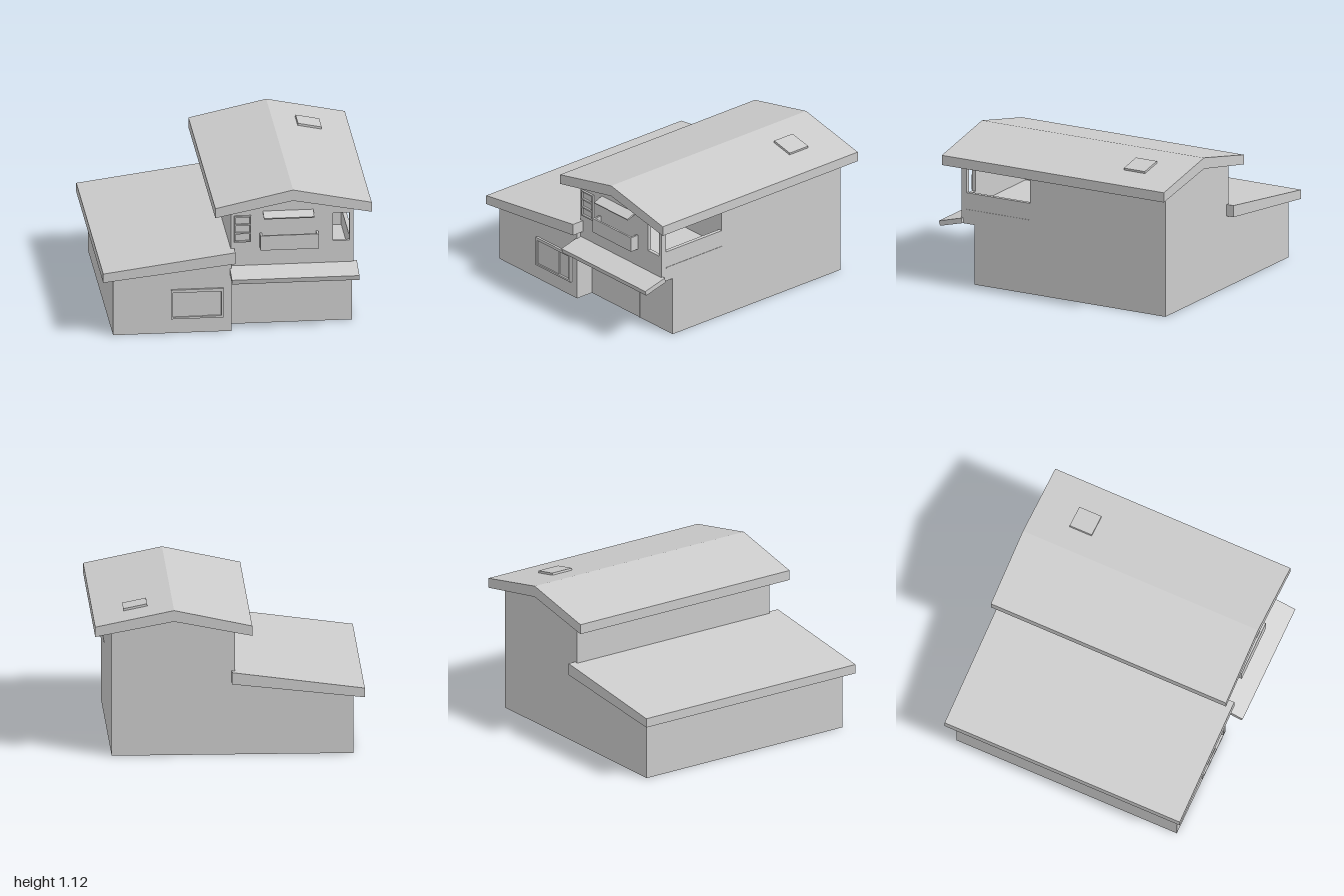
import * as THREE from 'three';

const material = new THREE.MeshStandardMaterial({ color: 0xcccccc, flatShading: true, side: THREE.DoubleSide });

export function createModel() {
  const house = new THREE.Group();
  house.name = 'house';

  const add = (name, geometry, parent = house) => {
    const mesh = new THREE.Mesh(geometry, material);
    mesh.name = name;
    parent.add(mesh);
    return mesh;
  };
  // Box given by its limits on each axis
  const box = (name, x0, x1, y0, y1, z0, z1, parent) => {
    const mesh = add(name, new THREE.BoxGeometry(x1 - x0, y1 - y0, z1 - z0), parent);
    mesh.position.set((x0 + x1) / 2, (y0 + y1) / 2, (z0 + z1) / 2);
    return mesh;
  };
  const outline = (points) => new THREE.Shape(points.map(([a, b]) => new THREE.Vector2(a, b)));
  const rectHole = (x0, x1, y0, y1) =>
    new THREE.Path([[x0, y0], [x0, y1], [x1, y1], [x1, y0]].map(([a, b]) => new THREE.Vector2(a, b)));
  const extrude = (shape, depth) => new THREE.ExtrudeGeometry(shape, { depth, bevelEnabled: false });
  // Front-facing profile (x, y) swept from z0 to z1
  const sweepZ = (name, points, z0, z1, holes = [], parent) => {
    const shape = outline(points);
    shape.holes.push(...holes);
    const mesh = add(name, extrude(shape, z1 - z0), parent);
    mesh.position.z = z0;
    return mesh;
  };
  // Side profile (z, y) swept from x0 to x1
  const sweepX = (name, points, x0, x1, holes = []) => {
    const shape = outline(points.map(([z, y]) => [-z, y]));
    shape.holes.push(...holes);
    const mesh = add(name, extrude(shape, x1 - x0));
    mesh.rotation.y = Math.PI / 2;
    mesh.position.x = x0;
    return mesh;
  };

  // Ground floor and single-storey wing
  sweepZ('wingWalls', [[-0.92, 0], [-0.04, 0], [-0.04, 0.55], [-0.92, 0.455]], -0.935, 0.855);
  box('groundFloor', -0.04, 0.875, 0, 0.46, -0.935, 0.71);

  // Upper storey: closed rear, open front room
  const gable = [[-0.04, 0.46], [0.875, 0.46], [0.875, 0.955], [0.415, 1.045], [-0.04, 0.955]];
  sweepZ('upperRear', gable, -0.935, 0.225);
  sweepZ('upperFrontWall', gable, 0.79, 0.82, [rectHole(0.72, 0.845, 0.67, 0.89)]);
  sweepX('upperRightWall', [[0.79, 0.46], [0.225, 0.46], [0.225, 0.95], [0.79, 0.95]], 0.845, 0.875,
    [rectHole(-0.775, -0.23, 0.70, 0.905)]);
  box('upperLeftWall', -0.04, -0.01, 0.46, 0.95, 0.225, 0.79);
  box('roomFloor', -0.01, 0.845, 0.46, 0.57, 0.225, 0.79);
  box('sideLedge', 0.874, 0.878, 0.565, 0.572, 0.23, 0.775);

  // Roofs
  sweepZ('mainRoof', [[-0.165, 0.92], [0.415, 1.035], [1, 0.925], [1, 1], [0.415, 1.12], [-0.165, 0.995]],
    -0.995, 0.915);
  sweepZ('wingRoof', [[-1, 0.44], [-0.015, 0.55], [-0.015, 0.64], [-1, 0.51]], -0.995, 0.915);
  const skylight = add('skylight', new THREE.BoxGeometry(0.18, 0.025, 0.18));
  skylight.position.set(0.688, 1.068, -0.61);
  skylight.rotation.z = -Math.atan2(0.12, 0.585);

  // Canopy over the entrance and small awning above the balcony
  sweepX('entranceCanopy', [[0.8, 0.467], [0.99, 0.418], [1, 0.455], [0.808, 0.505]], -0.05, 0.9);
  sweepX('balconyAwning', [[0.81, 0.915], [0.89, 0.885], [0.895, 0.895], [0.81, 0.93]], 0.2, 0.575);
  box('doorEdge', 0.497, 0.503, 0, 0.35, 0.7, 0.715);

  // Open-topped balcony
  const balcony = new THREE.Group();
  balcony.name = 'balcony';
  house.add(balcony);
  box('balconyFloor', 0.175, 0.61, 0.64, 0.66, 0.82, 0.89, balcony);
  box('balconyFront', 0.175, 0.61, 0.64, 0.755, 0.875, 0.89, balcony);
  for (const x of [0.175, 0.595]) box('balconySide', x, x + 0.015, 0.64, 0.755, 0.82, 0.89, balcony);

  // Three-pane upper window
  const upperWindow = new THREE.Group();
  upperWindow.name = 'upperWindow';
  house.add(upperWindow);
  const panes = [0, 1, 2].map((i) => rectHole(-0.005, 0.1, 0.7 + i * 0.066, 0.755 + i * 0.066));
  sweepZ('upperWindowFrame', [[-0.015, 0.69], [0.11, 0.69], [0.11, 0.897], [-0.015, 0.897]], 0.82, 0.836, panes, upperWindow);

  // Sliding window in the wing
  const wingWindow = new THREE.Group();
  wingWindow.name = 'wingWindow';
  house.add(wingWindow);
  sweepZ('wingWindowFrame', [[-0.49, 0.115], [-0.1, 0.115], [-0.1, 0.345], [-0.49, 0.345]], 0.855, 0.872,
    [rectHole(-0.475, -0.115, 0.13, 0.322)], wingWindow);
  box('slidingPane', -0.475, -0.235, 0.13, 0.322, 0.855, 0.861, wingWindow);

  return house;
}
